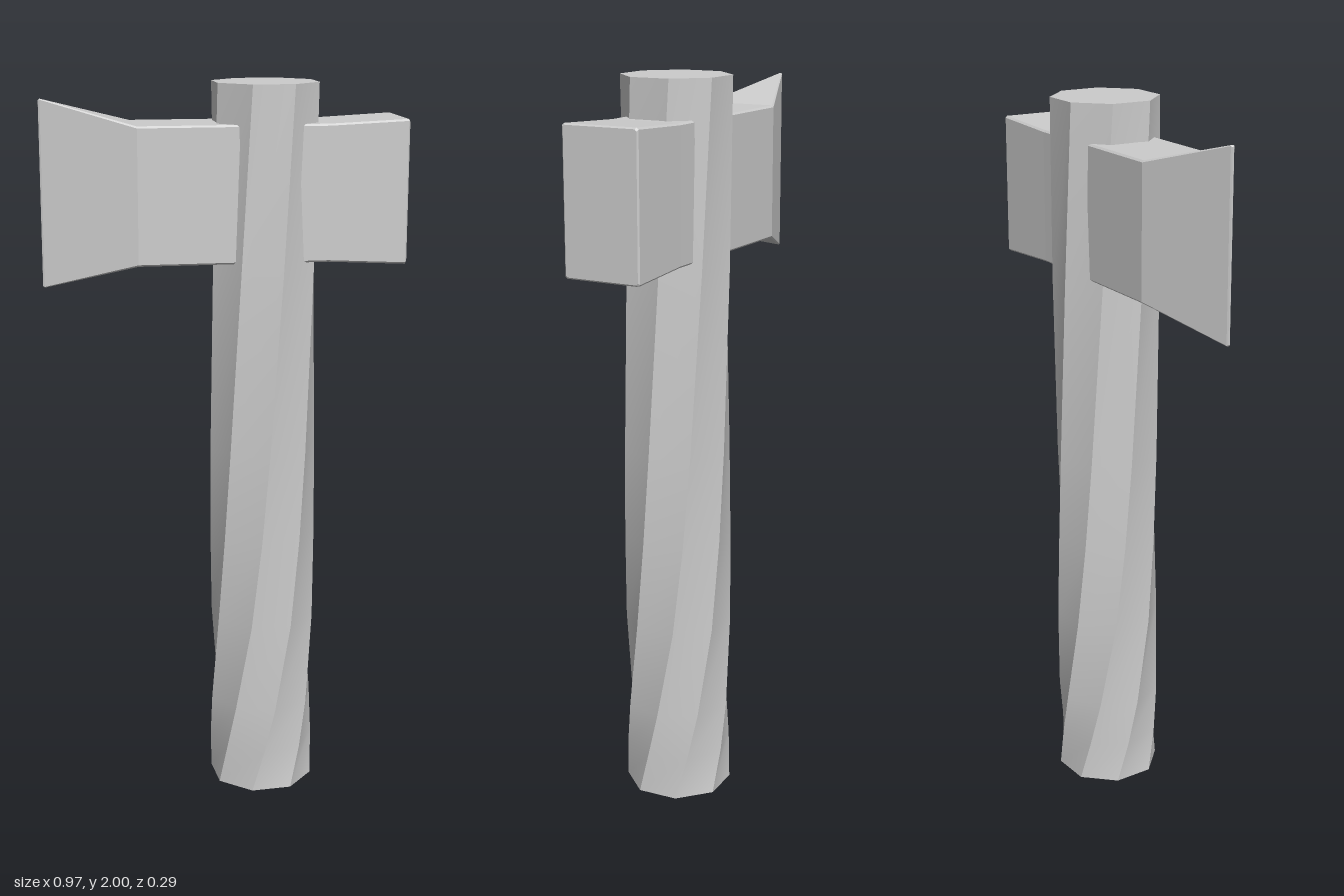
import * as THREE from 'three';
import { toCreasedNormals } from 'three/addons/utils/BufferGeometryUtils.js';

// Skin a list of equal-length rings (counterclockwise seen from the loft axis) and cap both ends.
function loft(rings) {
  const n = rings[0].length, index = [];
  for (let i = 0; i < rings.length - 1; i++) {
    for (let j = 0; j < n; j++) {
      const k = (j + 1) % n;
      const a = i * n + j, b = i * n + k, c = b + n, d = a + n;
      index.push(a, b, c, a, c, d);
    }
  }
  const top = (rings.length - 1) * n;
  for (let j = 1; j < n - 1; j++) {
    index.push(0, j + 1, j);
    index.push(top, top + j, top + j + 1);
  }
  const geometry = new THREE.BufferGeometry();
  geometry.setAttribute('position', new THREE.Float32BufferAttribute(rings.flat(2), 3));
  geometry.setIndex(index);
  return geometry;
}

// Octagonal ring of the handle, turned by an angle in degrees
function handleRing([y, degrees]) {
  const ring = [];
  for (let j = 0; j < 8; j++) {
    const a = THREE.MathUtils.degToRad(degrees + j * 45);
    ring.push([0.113 + 0.147 * Math.sin(a), y, 0.147 * Math.cos(a)]);
  }
  return ring;
}

// Rectangular ring of the head with chamfered corners
function headRing([x, bottom, top, depth]) {
  const c = Math.min(0.005, depth * 0.5);
  return [
    [x, top, -depth + c], [x, top, depth - c],
    [x, top - c, depth], [x, bottom + c, depth],
    [x, bottom, depth - c], [x, bottom, -depth + c],
    [x, bottom + c, -depth], [x, top - c, -depth],
  ];
}

export function createModel() {
  const group = new THREE.Group();

  // Handle: the twist tightens toward the foot [height, turn]
  const twist = [[0, -64], [0.12, -51], [0.25, -39], [0.5, -21], [0.75, -10], [1, -2], [1.5, 11], [2, 22.5]];
  const handle = new THREE.Mesh(
    toCreasedNormals(loft(twist.map(handleRing)), 0.55),
    new THREE.MeshStandardMaterial({ color: 0xcccccc })
  );
  handle.name = 'handle';
  group.add(handle);

  // Head: flared cutting edge on the right, square poll on the left [x, bottom, top, half depth]
  const sections = [
    [-0.487, 1.468, 1.957, 0.002],
    [-0.483, 1.464, 1.961, 0.005],
    [-0.24, 1.53, 1.895, 0.102],
    [0.27, 1.53, 1.895, 0.102],
    [0.48, 1.52, 1.905, 0.109],
    [0.484, 1.524, 1.901, 0.105],
  ];
  const head = new THREE.Mesh(
    loft(sections.map(headRing)).toNonIndexed(),
    new THREE.MeshStandardMaterial({ color: 0xcccccc, flatShading: true })
  );
  head.geometry.computeVertexNormals();
  head.name = 'axeHead';
  group.add(head);

  return group;
}
